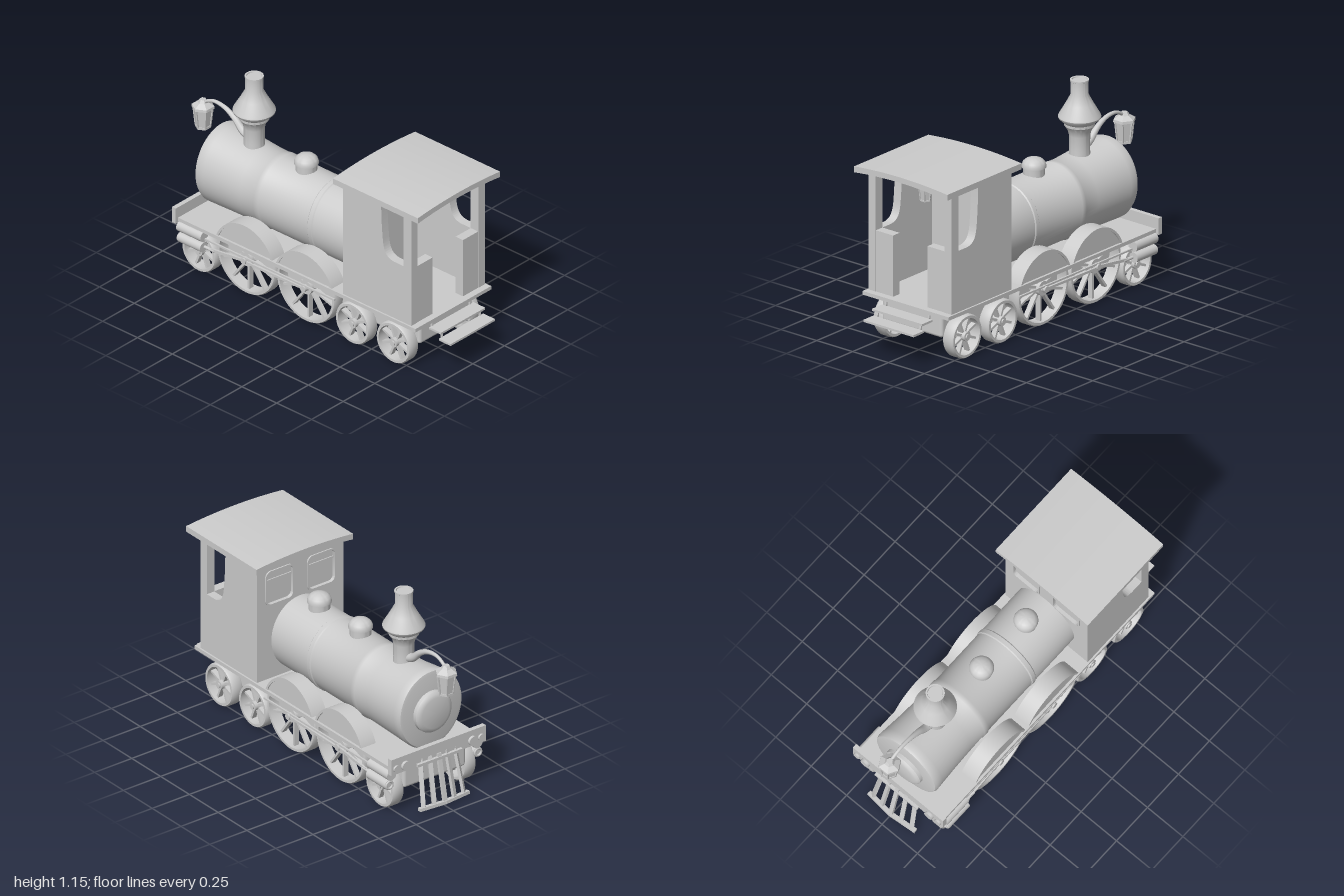
import * as THREE from 'three';
import { toCreasedNormals } from 'three/addons/utils/BufferGeometryUtils.js';
import { RoundedBoxGeometry } from 'three/addons/geometries/RoundedBoxGeometry.js';

const mat = new THREE.MeshStandardMaterial({ color: 0xcccccc, side: THREE.DoubleSide });
const V = (x, y, z) => new THREE.Vector3(x, y, z);

function add(parent, name, geo, x = 0, y = 0, z = 0) {
  const m = new THREE.Mesh(geo, mat);
  m.name = name;
  m.position.set(x, y, z);
  parent.add(m);
  return m;
}
// Box given by its extents
function span(parent, name, x0, x1, y0, y1, z0, z1) {
  return add(parent, name, new THREE.BoxGeometry(x1 - x0, y1 - y0, Math.abs(z1 - z0)),
    (x0 + x1) / 2, (y0 + y1) / 2, (z0 + z1) / 2);
}
const lathe = (pts, seg = 40) => toCreasedNormals(
  new THREE.LatheGeometry(pts.map(p => new THREE.Vector2(p[0], p[1])), seg), 0.6);
const extrude = (shape, depth) => toCreasedNormals(
  new THREE.ExtrudeGeometry(shape, { depth, bevelEnabled: false, curveSegments: 24 }), 0.5);
const cylX = (r, len, seg = 24) => new THREE.CylinderGeometry(r, r, len, seg).rotateZ(Math.PI / 2);
const cylZ = (r, len, seg = 24) => new THREE.CylinderGeometry(r, r, len, seg).rotateX(Math.PI / 2);

// Straight bar of rectangular section between two points
function bar(parent, name, a, b, w, d) {
  const m = add(parent, name, new THREE.BoxGeometry(w, a.distanceTo(b), d));
  m.position.copy(a).lerp(b, 0.5);
  m.quaternion.setFromUnitVectors(V(0, 1, 0), b.clone().sub(a).normalize());
  return m;
}
function roundRect(S, x, y, w, h, r) {
  const s = new S();
  s.absarc(x + w - r, y + r, r, -Math.PI / 2, 0);
  s.absarc(x + w - r, y + h - r, r, 0, Math.PI / 2);
  s.absarc(x + r, y + h - r, r, Math.PI / 2, Math.PI);
  s.absarc(x + r, y + r, r, Math.PI, Math.PI * 1.5);
  s.closePath();
  return s;
}

// Spoked wheel with axle along z
function wheel(parent, name, x, y, z, r, spokes) {
  const g = new THREE.Group();
  g.name = name;
  g.position.set(x, y, z);
  const h = 0.036, ri = r - 0.02;
  add(g, 'tyre', lathe([[ri, -h], [r - 0.006, -h], [r, -h + 0.01], [r, h - 0.01], [r - 0.006, h], [ri, h], [ri, -h]], 48).rotateX(Math.PI / 2));
  add(g, 'hub', cylZ(r * 0.17 + 0.005, 0.07));
  add(g, 'axleCap', cylZ(r * 0.07 + 0.006, 0.085, 16));
  for (let i = 0; i < spokes; i++) {
    const a = (i + 0.5) / spokes * Math.PI * 2;
    bar(g, 'spoke', V(0, 0, 0), V(Math.cos(a) * (ri + 0.005), Math.sin(a) * (ri + 0.005), 0), 0.013, 0.03);
  }
  parent.add(g);
}

// Six-sided hanging lantern; origin at the rim of its cap
function lantern(parent, name, x, y, s) {
  const g = new THREE.Group();
  g.name = name;
  const hex = pts => new THREE.LatheGeometry(pts.map(p => new THREE.Vector2(...p)), 6).toNonIndexed();
  const flat = geo => { geo.computeVertexNormals(); return geo; };
  add(g, 'glass', flat(hex([[0, -0.125], [0.038, -0.125], [0.05, -0.01], [0, -0.01]])));
  add(g, 'base', flat(hex([[0, -0.133], [0.043, -0.133], [0.043, -0.12], [0, -0.12]])));
  add(g, 'cap', flat(hex([[0, -0.012], [0.064, -0.012], [0.062, 0.002], [0.03, 0.022], [0.018, 0.04], [0, 0.04]])));
  for (let i = 0; i < 6; i++) {
    const a = i / 6 * Math.PI * 2;
    bar(g, 'lanternEdge', V(Math.sin(a) * 0.04, -0.125, Math.cos(a) * 0.04),
      V(Math.sin(a) * 0.053, -0.01, Math.cos(a) * 0.053), 0.008, 0.008);
  }
  g.position.set(x, y, 0);
  g.scale.setScalar(s);
  parent.add(g);
}

export function createModel() {
  const root = new THREE.Group();
  root.name = 'steamLocomotive';

  // Chassis
  add(root, 'frame', new RoundedBoxGeometry(1.65, 0.142, 0.42, 3, 0.018), -0.015, 0.207, 0);
  span(root, 'runningBoard', -0.85, 0.86, 0.275, 0.296, -0.3, 0.3);
  span(root, 'bufferBeam', -0.872, -0.845, 0.265, 0.36, -0.318, 0.318);

  // Boiler, flared and lifted toward the front
  const boiler = lathe([[0, -0.81], [0.19, -0.81], [0.205, -0.806], [0.212, -0.79], [0.209, -0.75], [0.2, -0.62],
    [0.195, -0.5], [0.193, -0.405], [0.198, -0.395], [0.198, -0.365], [0.193, -0.355], [0.193, -0.014],
    [0.198, -0.008], [0.198, 0.016], [0.193, 0.022], [0.193, 0.34], [0, 0.34]], 64).rotateZ(-Math.PI / 2);
  const p = boiler.attributes.position;
  for (let i = 0; i < p.count; i++) {
    const t = Math.max(0, (-0.4 - p.getX(i)) / 0.41);
    p.setY(i, p.getY(i) * 1.1 + 0.52 + 0.018 * t * t);
  }
  add(root, 'boiler', toCreasedNormals(boiler, 0.6));
  add(root, 'smokeboxDoor', lathe([[0, -0.85], [0.09, -0.848], [0.11, -0.842], [0.12, -0.83], [0.122, -0.8]]).rotateZ(-Math.PI / 2), 0, 0.53, 0);

  // Chimney and domes
  add(root, 'chimney', lathe([[0.06, 0.7], [0.056, 0.76], [0.057, 0.84], [0.064, 0.868], [0.08, 0.893], [0.083, 0.897],
    [0.083, 0.912], [0.09, 0.917], [0.113, 0.938], [0.116, 0.947], [0.112, 0.957], [0.075, 1.02], [0.048, 1.072],
    [0.048, 1.145], [0.051, 1.147], [0.051, 1.157], [0.042, 1.157], [0.04, 1.15], [0, 1.15]], 48), -0.57, 0, 0);
  for (const x of [-0.195, 0.163]) {
    add(root, 'steamDome', lathe([[0.058, 0.68], [0.058, 0.765], [0.066, 0.767], [0.066, 0.78], [0.06, 0.797],
      [0.045, 0.811], [0.024, 0.819], [0, 0.822]]), x, 0, 0);
  }

  // Tapered bracket carrying the front lantern
  const curve = new THREE.CatmullRomCurve3([V(-0.57, 0.755, 0), V(-0.65, 0.782, 0), V(-0.71, 0.835, 0),
    V(-0.78, 0.872, 0), V(-0.86, 0.88, 0), V(-0.92, 0.852, 0), V(-0.94, 0.825, 0)]);
  const N = 32, R = 12, tube = new THREE.TubeGeometry(curve, N, 1, R);
  const tp = tube.attributes.position, v = V(0, 0, 0);
  for (let i = 0; i < tp.count; i++) {
    const t = Math.floor(i / (R + 1)) / N, c = curve.getPointAt(t);
    v.fromBufferAttribute(tp, i).sub(c).multiplyScalar(0.009 + 0.022 * (1 - t) ** 2).add(c);
    tp.setXYZ(i, v.x, v.y, v.z);
  }
  tube.computeVertexNormals();
  add(root, 'lanternArm', tube);
  lantern(root, 'frontLantern', -0.938, 0.822, 1);
  lantern(root, 'cabLantern', 0.695, 0.935, 0.72);
  add(root, 'lanternHook', new THREE.TorusGeometry(0.012, 0.003, 6, 16), 0.695, 0.972, 0);
  span(root, 'hookStem', 0.692, 0.698, 0.98, 1.01, -0.003, 0.003);

  // Cab front wall with two framed windows
  const wall = new THREE.Shape([[-0.288, 0.295], [0.288, 0.295], [0.288, 0.985], [0, 1.005], [-0.288, 0.985]].map(q => new THREE.Vector2(...q)));
  for (const s of [-1, 1]) {
    const x0 = s > 0 ? 0.053 : -0.228;
    wall.holes.push(roundRect(THREE.Path, x0, 0.747, 0.175, 0.193, 0.03));
    const frame = roundRect(THREE.Shape, x0 - 0.008, 0.739, 0.191, 0.209, 0.036);
    frame.holes.push(roundRect(THREE.Path, x0, 0.747, 0.175, 0.193, 0.03));
    add(root, 'windowFrame', extrude(frame, 0.045).rotateY(Math.PI / 2), 0.322, 0, 0);
    span(root, 'windowPane', 0.342, 0.348, 0.74, 0.945, s * 0.05, s * 0.231);
    span(root, 'windowBar', 0.336, 0.354, 0.88, 0.89, s * 0.05, s * 0.231);
  }
  add(root, 'cabFrontWall', extrude(wall, 0.03).rotateY(Math.PI / 2), 0.33, 0, 0);

  // Cab sides, rear panels and posts
  const side = new THREE.Shape();
  side.moveTo(0.33, 0.295);
  side.lineTo(0.77, 0.295);
  side.lineTo(0.77, 0.645);
  side.lineTo(0.7, 0.645);
  side.bezierCurveTo(0.635, 0.648, 0.622, 0.69, 0.616, 0.76);
  side.quadraticCurveTo(0.605, 0.87, 0.605, 0.985);
  side.lineTo(0.33, 0.985);
  side.closePath();
  for (const s of [-1, 1]) {
    add(root, 'cabSide', extrude(side, 0.05), 0, 0, s > 0 ? 0.24 : -0.29);
    span(root, 'cabPost', 0.765, 0.822, 0.295, 0.99, s * 0.24, s * 0.29);
    span(root, 'cabRearPanel', 0.767, 0.82, 0.295, 0.645, s * 0.12, s * 0.24);
  }

  // Arched roof
  const roof = new THREE.Shape();
  roof.moveTo(-0.325, 0.978);
  roof.quadraticCurveTo(0, 1.018, 0.325, 0.978);
  roof.lineTo(0.325, 1.012);
  roof.quadraticCurveTo(0, 1.046, -0.325, 1.012);
  roof.closePath();
  add(root, 'cabRoof', extrude(roof, 0.61).rotateY(Math.PI / 2), 0.29, 0, 0);

  // Running gear, mirrored on both sides
  for (const s of [-1, 1]) {
    for (const x of [-0.718, 0.385, 0.678]) wheel(root, 'smallWheel', x, 0.126, s * 0.242, 0.122, 8);
    for (const x of [-0.377, 0.052]) {
      wheel(root, 'drivingWheel', x, 0.216, s * 0.242, 0.21, 10);
      const a = 0.34;
      const face = new THREE.Shape().absarc(0, 0, 0.206, a, Math.PI - a);
      const rim = new THREE.Shape().absarc(0, 0, 0.216, a, Math.PI - a);
      rim.absarc(0, 0, 0.202, Math.PI - a, a, true);
      add(root, 'splasherFace', extrude(face, 0.09), x, 0.216, s > 0 ? 0.196 : -0.286);
      add(root, 'splasherRim', extrude(rim, 0.098), x, 0.216, s > 0 ? 0.194 : -0.292);
      add(root, 'crankPin', cylZ(0.018, 0.05, 16), x, 0.216, s * 0.278);
    }
    const z = s * 0.29;
    add(root, 'upperCylinder', cylX(0.031, 0.175), -0.752, 0.246, z);
    add(root, 'lowerCylinder', cylX(0.029, 0.165), -0.745, 0.185, s * 0.298);
    add(root, 'cylinderRing', new THREE.TorusGeometry(0.021, 0.007, 8, 24).rotateY(Math.PI / 2), -0.829, 0.185, s * 0.298);
    add(root, 'pistonRod', cylX(0.009, 0.1, 12), -0.64, 0.185, z);
    bar(root, 'connectingRod', V(-0.62, 0.185, z), V(-0.377, 0.216, z), 0.016, 0.012);
    bar(root, 'couplingRod', V(-0.377, 0.21, z), V(0.052, 0.216, z), 0.014, 0.012);
    span(root, 'valveRod', -0.66, 0.27, 0.228, 0.238, s * 0.284, s * 0.294);
    // Front buffers
    add(root, 'buffer', cylX(0.027, 0.018, 20), -0.878, 0.3, s * 0.225);
    add(root, 'endBuffer', cylX(0.02, 0.014, 20), -0.876, 0.3, s * 0.285);
  }

  // Pilot grille
  for (let i = -2; i <= 2; i++) {
    const back = Math.abs(i) * 0.006;
    bar(root, 'pilotBar', V(-0.872 + back, 0.3, i * 0.058), V(-0.93 + back, 0.02, i * 0.068), 0.017, 0.025);
  }
  for (const s of [-1, 1]) bar(root, 'pilotFoot', V(-0.932, 0.028, 0), V(-0.917, 0.028, s * 0.165), 0.024, 0.018);
  bar(root, 'pilotTop', V(-0.878, 0.275, -0.15), V(-0.878, 0.275, 0.15), 0.022, 0.016);

  // Rear steps on zigzag brackets
  span(root, 'upperStep', 0.845, 0.93, 0.234, 0.246, -0.175, 0.175);
  span(root, 'lowerStep', 0.915, 1.0, 0.192, 0.204, -0.175, 0.175);
  for (const z of [-0.15, 0.15]) {
    const path = [V(0.84, 0.28, z), V(0.845, 0.226, z), V(0.91, 0.226, z), V(0.918, 0.184, z), V(0.965, 0.184, z)];
    for (let i = 0; i < 4; i++) bar(root, 'stepBracket', path[i], path[i + 1], 0.01, 0.01);
  }
  return root;
}
